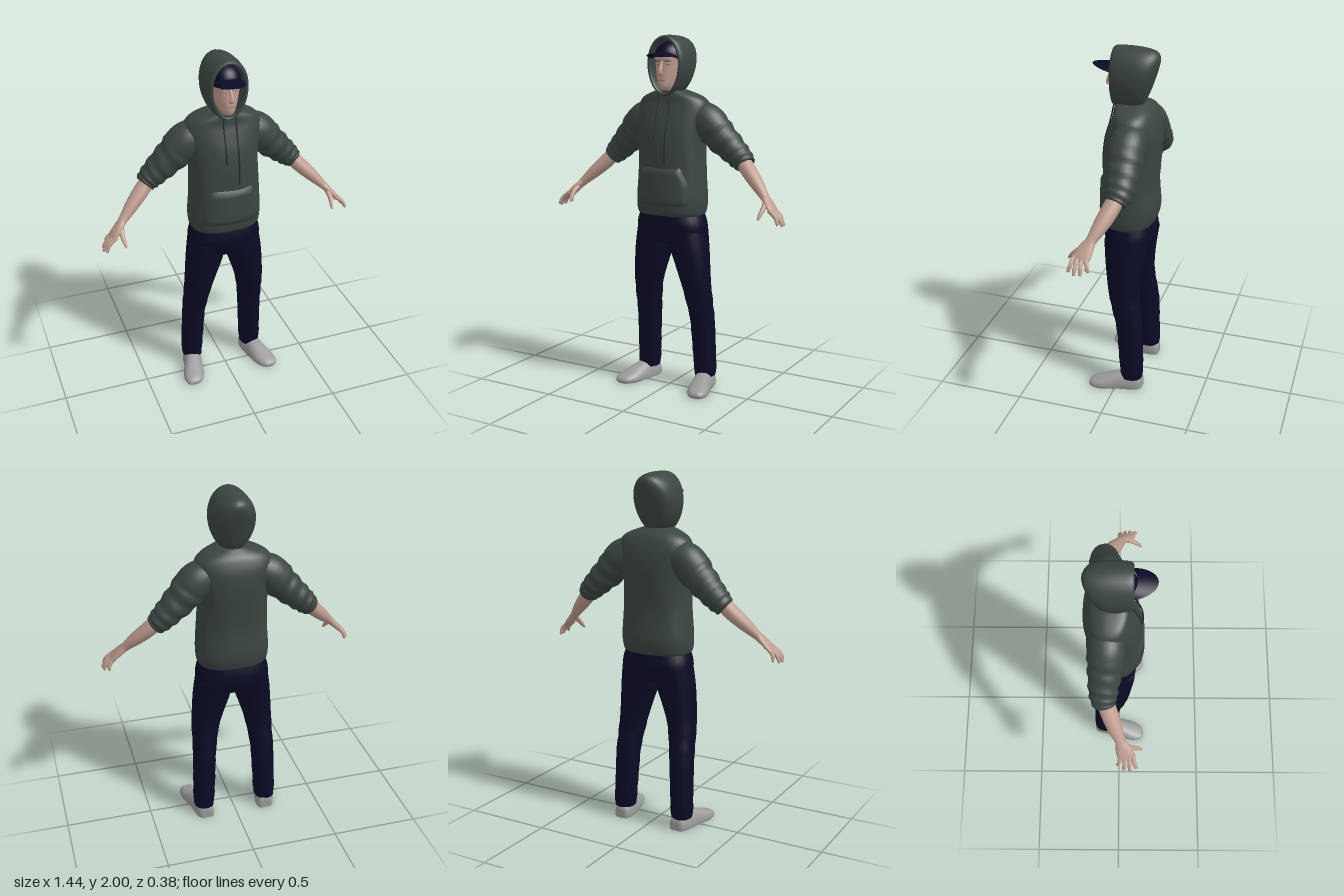
import * as THREE from 'three';

const mat = (name, color, side = THREE.FrontSide) => {
  const m = new THREE.MeshStandardMaterial({ color, side });
  m.name = name;
  return m;
};

// Catmull-Rom resampling of rows of numbers
function resample(rows, steps) {
  const out = [], last = rows.length - 1;
  for (let i = 0; i < last; i++) {
    const [a, b, c, d] = [i - 1, i, i + 1, i + 2].map(k => rows[Math.min(last, Math.max(0, k))]);
    for (let k = 0; k < steps; k++) {
      const t = k / steps;
      out.push(b.map((v, j) => v + 0.5 * t * (c[j] - a[j] + t * (2 * a[j] - 5 * v + 4 * c[j] - d[j]
        + t * (3 * (v - c[j]) + d[j] - a[j])))));
    }
  }
  out.push(rows[last]);
  return out;
}

// Skin over closed rings of points, with sharp end caps
function loft(rings) {
  const n = rings[0].length, pos = [], idx = [];
  rings.forEach(r => r.forEach(p => pos.push(p.x, p.y, p.z)));
  for (let i = 0; i < rings.length - 1; i++) for (let j = 0; j < n; j++) {
    const a = i * n + j, b = i * n + (j + 1) % n;
    idx.push(a, b, b + n, a, b + n, a + n);
  }
  [rings[0], rings[rings.length - 1]].forEach((r, end) => {
    const base = pos.length / 3, c = new THREE.Vector3();
    r.forEach(p => { pos.push(p.x, p.y, p.z); c.addScaledVector(p, 1 / n); });
    pos.push(c.x, c.y, c.z);
    for (let j = 0; j < n; j++) {
      const a = base + j, b = base + (j + 1) % n;
      end ? idx.push(a, b, base + n) : idx.push(b, a, base + n);
    }
  });
  return finish(pos, idx);
}

function finish(pos, idx) {
  const g = new THREE.BufferGeometry();
  g.setAttribute('position', new THREE.Float32BufferAttribute(pos, 3));
  g.setIndex(idx);
  g.computeVertexNormals();
  return g;
}

const ring = (n, f) => Array.from({ length: n }, (_, j) => f(j / n * Math.PI * 2));
const pw = (v, e) => Math.sign(v) * Math.abs(v) ** e;

// Upright body from rows [y, centre x, half width, front z, back z]
function column(rows, { n = 32, power = 2, fold = () => 0 } = {}) {
  return loft(resample(rows, 4).map(([y, cx, rx, zf, zb]) => ring(n, a => {
    const k = 1 + fold(y, a);
    return new THREE.Vector3(cx + rx * k * pw(Math.cos(a), 2 / power), y,
      (zf + zb) / 2 - (zf - zb) / 2 * k * pw(Math.sin(a), 2 / power));
  })));
}

// Front surface of an upright body at (x, y)
function frontZ(rows, x, y, power = 2) {
  let i = 0;
  while (i < rows.length - 2 && rows[i + 1][0] < y) i++;
  const t = (y - rows[i][0]) / (rows[i + 1][0] - rows[i][0]);
  const [, , rx, zf, zb] = rows[i].map((v, j) => v + t * (rows[i + 1][j] - v));
  const q = Math.max(0, 1 - Math.abs(x / rx) ** power);
  return (zf + zb) / 2 + (zf - zb) / 2 * q ** (1 / power);
}

// Limb along a path of rows [x, y, z, radius towards z, other radius]
function limb(rows, { n = 16, steps = 4, fold = () => 0 } = {}) {
  const path = resample(rows, steps), P = path.map(r => new THREE.Vector3(...r));
  return loft(path.map((r, i) => {
    const T = P[Math.min(i + 1, P.length - 1)].clone().sub(P[Math.max(i - 1, 0)]).normalize();
    const S = new THREE.Vector3(0, 0, 1).addScaledVector(T, -T.z).normalize();
    const U = T.clone().cross(S);
    return ring(n, a => {
      const k = 1 + fold(i / (P.length - 1), a);
      return P[i].clone().addScaledVector(S, r[3] * k * Math.cos(a)).addScaledVector(U, r[4] * k * Math.sin(a));
    });
  }));
}

// Open sheet from f(u, v)
function sheet(nu, nv, f) {
  const pos = [], idx = [];
  for (let i = 0; i <= nv; i++) for (let j = 0; j <= nu; j++) pos.push(...f(j / nu, i / nv));
  for (let i = 0; i < nv; i++) for (let j = 0; j < nu; j++) {
    const a = i * (nu + 1) + j, b = a + nu + 1;
    idx.push(a, a + 1, b + 1, a, b + 1, b);
  }
  return finish(pos, idx);
}

export function createModel() {
  const model = new THREE.Group();
  model.name = 'hoodedFigure';
  const cloth = mat('hoodieGreen', 0x3b4542, THREE.DoubleSide), cord = mat('cordGreen', 0x232a28);
  const navy = mat('navyCloth', 0x0a0a26, THREE.DoubleSide), skin = mat('skin', 0xc09d90);
  const grey = mat('shoeGrey', 0x9b9b9b), eyeMat = mat('eyeGrey', 0x8d949c);
  const dark = mat('browBrown', 0x4a3a35), lip = mat('lip', 0xa07c74);
  const add = (name, geo, m, parent = model) => {
    const mesh = new THREE.Mesh(geo, m);
    mesh.name = name;
    parent.add(mesh);
    return mesh;
  };

  // Hoodie body
  const torso = [[1.01, 0, .19, .108, -.162], [1.03, 0, .2, .12, -.172], [1.1, 0, .204, .127, -.185],
    [1.25, 0, .195, .122, -.175], [1.4, 0, .19, .118, -.185], [1.5, 0, .198, .104, -.19],
    [1.58, 0, .212, .08, -.183], [1.635, 0, .205, .062, -.165], [1.67, 0, .165, .058, -.145],
    [1.7, 0, .085, .055, -.11]];
  add('hoodieBody', column(torso, { n: 48, power: 2.4, fold: (y, a) =>
    y > 1.07 && y < 1.58 ? .012 * Math.sin(a * 7 + y * 9) * Math.sin((y - 1.07) / .51 * Math.PI) : 0 }), cloth);
  add('pocket', sheet(20, 10, (u, v) => {
    const y = 1.06 + .225 * v, w = v < .55 ? .168 : .168 - .048 * (v - .55) / .45, x = (u * 2 - 1) * w;
    const edge = u === 0 || u === 1 || v === 0 || v === 1;
    return [x, y, frontZ(torso, x, y, 2.4) + (edge ? -.006 : .014)];
  }), cloth);
  [[-.032, 1.44], [.038, 1.31]].forEach(([x, low]) => {
    const rows = [0, .25, .5, .75, 1].map(t => {
      const y = 1.685 + (low - 1.685) * t;
      return [x, y, frontZ(torso, x, y, 2.4) + .008, .004, .004];
    });
    add('drawstring', limb(rows, { n: 6 }), cord);
  });

  // Hood: inner lining, rim, then outer shell towards the back
  const hoodRows = [[-.03, 1.83, .07, .13], [.03, 1.83, .08, .138], [.062, 1.83, .086, .145],
    [.07, 1.833, .097, .157], [.05, 1.834, .112, .165], [-.02, 1.832, .119, .168], [-.08, 1.83, .115, .163],
    [-.122, 1.83, .093, .147], [-.145, 1.83, .05, .11], [-.15, 1.83, .015, .04]];
  add('hood', loft(resample(hoodRows, 3).map(([z, cy, rx, ry]) => ring(36, a => {
    const y = cy - ry * Math.sin(a), depth = (.07 - z) / .2;
    return new THREE.Vector3(rx * Math.cos(a) * (1 - .08 * Math.sin(a)), y, z - depth * .3 * (y - 1.83));
  }))), cloth);

  // Head
  const face = [[1.62, 0, .05, .035, -.08], [1.69, 0, .048, .04, -.08], [1.705, 0, .035, .08, -.07],
    [1.73, 0, .048, .092, -.08], [1.78, 0, .065, .09, -.09], [1.84, 0, .076, .086, -.09],
    [1.88, 0, .077, .09, -.09], [1.92, 0, .07, .08, -.08]];
  add('head', column(face), skin);
  add('nose', limb([[0, 1.862, .08, .006, .007], [0, 1.825, .098, .01, .009], [0, 1.795, .107, .01, .014],
    [0, 1.783, .094, .006, .01]], { n: 10 }), skin);
  const mouth = add('mouth', new THREE.BoxGeometry(.042, .006, .006), lip);
  mouth.position.set(0, 1.755, .0905);
  for (const s of [1, -1]) {
    const eye = add('eye', new THREE.SphereGeometry(1, 12, 8), eyeMat);
    eye.scale.set(.013, .006, .004);
    eye.position.set(s * .031, 1.842, frontZ(face, .031, 1.842));
    const brow = add('brow', new THREE.BoxGeometry(.034, .006, .006), dark);
    brow.position.set(s * .032, 1.859, frontZ(face, .032, 1.859) + .001);
    brow.rotation.y = s * .3;
  }

  // Cap
  const dome = add('capDome', new THREE.SphereGeometry(1, 28, 10, 0, Math.PI * 2, 0, Math.PI / 2), navy);
  dome.scale.set(.083, .085, .092);
  dome.position.set(0, 1.88, 0);
  add('capBrim', sheet(20, 5, (u, v) => {
    const c = Math.cos(u * Math.PI), q = Math.sin(u * Math.PI);
    return [(.08 + .006 * v) * c, 1.868 + .042 * q - .012 * v * q, .02 + .025 * v + q * (.068 + .075 * v)];
  }), navy);

  // Trousers
  add('hips', column([[1.03, 0, .185, .1, -.155], [.96, 0, .205, .112, -.17], [.9, 0, .208, .1, -.165],
    [.85, 0, .205, .085, -.145]].reverse(), { power: 2.4 }), navy);
  const leg = [[.065, .188, .058, -.022, -.148], [.12, .187, .062, -.018, -.153], [.25, .182, .064, -.008, -.15],
    [.4, .176, .066, .008, -.146], [.5, .168, .071, .032, -.132], [.6, .157, .079, .056, -.12],
    [.7, .139, .092, .072, -.125], [.82, .115, .106, .088, -.142], [.92, .105, .1, .095, -.16]];

  for (const s of [1, -1]) {
    const mir = rows => rows.map(([x, ...r]) => [s * x, ...r]);
    const name = s > 0 ? 'left' : 'right';
    add(name + 'TrouserLeg', column(leg.map(([y, x, ...r]) => [y, s * x, ...r]), { n: 24, power: 2.2,
      fold: (y, a) => y < .6 ? .02 * Math.sin(y * 60 + a * 2) : 0 }), navy);

    // Shoe rows: z, centre x, half width, height
    const shoe = [[-.152, .182, .025, .05], [-.14, .184, .045, .08], [-.09, .19, .055, .098], [-.03, .2, .056, .096],
      [.03, .216, .061, .078], [.08, .228, .063, .06], [.125, .238, .052, .046], [.148, .242, .034, .034],
      [.155, .243, .015, .02]];
    add(name + 'Shoe', loft(resample(shoe, 3).map(([z, cx, w, h]) => ring(24, a => new THREE.Vector3(
      s * cx + w * pw(Math.cos(a), .8), Math.max(0, .018 + (h - .018) * Math.sin(a)), z)))), grey);

    // Sleeve pushed up to the elbow, with creases
    add(name + 'Sleeve', limb(mir([[.11, 1.57, -.06, .085, .08], [.2, 1.53, -.065, .1, .1], [.28, 1.45, -.072, .092, .09],
      [.36, 1.375, -.08, .08, .075], [.41, 1.328, -.08, .07, .064], [.437, 1.302, -.074, .056, .053]]),
      { n: 28, steps: 7, fold: (t, a) => t > .3 ? .05 * Math.sin(t * 42 + 2 * Math.sin(a + s)) : 0 }), cloth);

    // Forearm and hand
    add(name + 'Forearm', limb(mir([[.41, 1.33, -.075, .045, .042], [.47, 1.268, -.05, .047, .042],
      [.53, 1.21, -.022, .041, .036], [.58, 1.16, .004, .03, .026], [.605, 1.135, .016, .03, .021]])), skin);
    const hand = new THREE.Group();
    hand.name = name + 'Hand';
    model.add(hand);
    add('palm', limb(mir([[.59, 1.15, .008, .028, .023], [.62, 1.12, .024, .042, .019],
      [.65, 1.088, .037, .047, .016], [.668, 1.068, .045, .042, .01]])), skin, hand);
    [[.012, .69, 1.022, -.005], [.034, .712, 1.011, .028], [.057, .717, 1.01, .06], [.076, .705, 1.02, .093]]
      .forEach(([z, x, y, tipZ]) => add('finger', limb(mir([[.645, 1.09, z, .012, .012],
        [(.655 + x) / 2 + .007, (1.08 + y) / 2 + .006, (z + tipZ) / 2, .011, .011],
        [x - .003, y + .005, tipZ, .009, .008], [x, y, tipZ, .004, .004]]), { n: 10 }), skin, hand));
    add('thumb', limb(mir([[.607, 1.13, .03, .018, .017], [.612, 1.1, .072, .014, .014],
      [.608, 1.07, .105, .011, .011], [.605, 1.045, .125, .006, .006]]), { n: 10 }), skin, hand);
  }
  return model;
}
